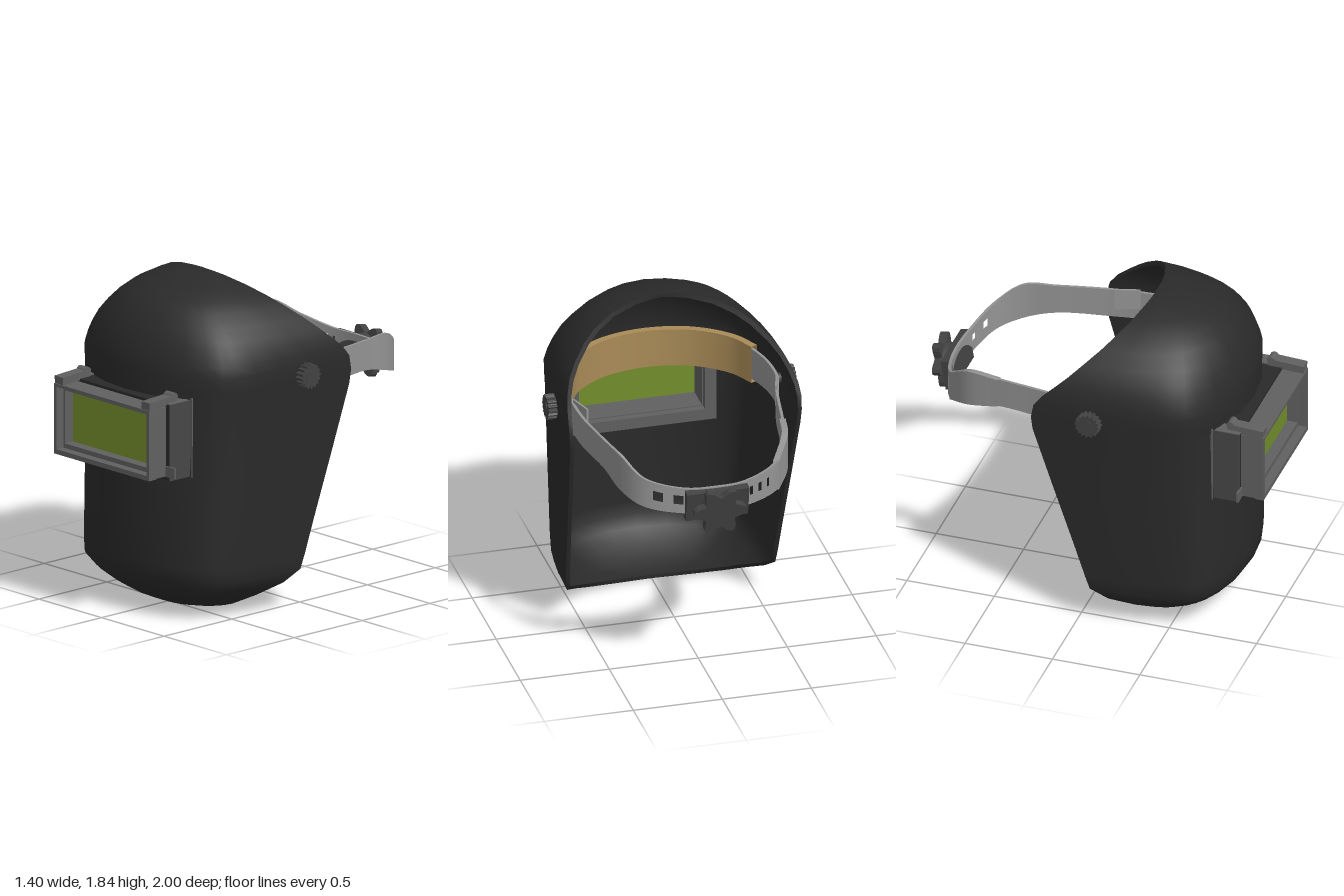
import * as THREE from 'three';
import { toCreasedNormals } from 'three/addons/utils/BufferGeometryUtils.js';

const mat = (name, color, side = THREE.FrontSide) => {
  const m = new THREE.MeshStandardMaterial({ color, side });
  m.name = name;
  return m;
};

// Skins a stack of closed loops; skip(i, j) leaves openings
function loft(loops, skip = () => false) {
  const n = loops[0].length, index = [];
  for (let i = 0; i < loops.length - 1; i++) {
    for (let j = 0; j < n; j++) {
      if (skip(i, j)) continue;
      const a = i * n + j, b = i * n + (j + 1) % n, c = b + n, d = a + n;
      index.push(a, d, c, a, c, b);
    }
  }
  const g = new THREE.BufferGeometry();
  g.setAttribute('position', new THREE.Float32BufferAttribute(loops.flat(2), 3));
  g.setIndex(index);
  return toCreasedNormals(g, 1.05);
}

// Rectangular frame with a window, extruded from z0 to z1
function frame(w, y0, y1, iw, iy0, iy1, z0, z1) {
  const rect = (C, a, b, c) => new C([[-a, b], [a, b], [a, c], [-a, c]].map(p => new THREE.Vector2(...p)));
  const s = rect(THREE.Shape, w, y0, y1);
  s.holes.push(rect(THREE.Path, iw, iy0, iy1));
  return new THREE.ExtrudeGeometry(s, { depth: z1 - z0, bevelEnabled: false }).translate(0, 0, z0);
}

// Disc whose radius follows a rule of the angle, centred on its thickness
function lobedDisc(radius, steps, depth) {
  const pts = [];
  for (let i = 0; i < steps; i++) {
    const a = i / steps * Math.PI * 2, r = radius(a, i);
    pts.push(new THREE.Vector2(Math.cos(a) * r, Math.sin(a) * r));
  }
  return new THREE.ExtrudeGeometry(new THREE.Shape(pts), { depth, bevelEnabled: false }).translate(0, 0, -depth / 2);
}

// Upright band along [x, z, centre y, half height] points
function bandGeometry(pts, closed, thick, steps, hole = () => false) {
  const path = new THREE.CatmullRomCurve3(pts.map(p => new THREE.Vector3(p[0], p[2], p[1])), closed);
  const tall = new THREE.CatmullRomCurve3(pts.map(p => new THREE.Vector3(p[0], p[2] + p[3], p[1])), closed);
  const loops = [];
  for (let i = 0; i <= steps; i++) {
    const p = path.getPoint(i / steps), h = tall.getPoint(i / steps).y - p.y;
    const t = path.getTangent(i / steps), l = Math.hypot(t.x, t.z);
    const nx = -t.z / l * thick / 2, nz = t.x / l * thick / 2;
    const at = (k, s) => [p.x + nx * s, p.y + h * k, p.z + nz * s];
    const rows = [-1, -0.4, 0.4, 1];
    loops.push([...rows.map(k => at(k, 1)), ...rows.reverse().map(k => at(k, -1))]);
  }
  return loft(loops, (i, j) => (j === 1 || j === 5) && hole(i));
}

// Shell levels: y, half width, front z, rear edge z
const LEVELS = [
  [0, 0, 0.47, 0.47], [0.01, 0.2, 0.54, 0.445], [0.04, 0.38, 0.61, 0.385], [0.09, 0.47, 0.695, 0.295],
  [0.155, 0.555, 0.775, 0.17], [0.22, 0.588, 0.815, 0.075], [0.3, 0.595, 0.82, 0.05], [0.5, 0.606, 0.82, -0.01],
  [0.87, 0.627, 0.82, -0.125], [1.22, 0.646, 0.82, -0.232], [1.3, 0.652, 0.82, -0.24], [1.38, 0.654, 0.82, -0.225],
  [1.44, 0.648, 0.815, -0.18], [1.5, 0.63, 0.80, -0.113], [1.56, 0.6, 0.78, -0.045], [1.62, 0.553, 0.75, 0.02],
  [1.69, 0.478, 0.70, 0.1], [1.74, 0.405, 0.645, 0.155], [1.79, 0.298, 0.53, 0.212], [1.825, 0.165, 0.39, 0.252],
  [1.836, 0.08, 0.32, 0.266], [1.84, 0, 0.27, 0.27],
];
const HALF = [[1, 0], [0.99, 0.25], [0.965, 0.45], [0.935, 0.61], [0.895, 0.74], [0.845, 0.8], [0.75, 0.86], [0.57, 0.925], [0.3, 0.98], [0, 1]];
const ARCH = [...HALF, ...HALF.slice(0, -1).reverse().map(([x, z]) => [-x, z])];

// Each level runs around the outside and returns along the inside, so the rim closes itself
function shellGeometry() {
  const loops = LEVELS.map(([y, w, f, b]) => {
    const k = y > 1.38 ? (y - 1.38) / 0.46 : y < 0.22 ? (0.22 - y) / 0.22 : 0;
    const arch = (y2, w2, f2) => ARCH.map(([x, z]) => {
      const m = 1 - k + k / Math.hypot(x, z);
      return [x * m * w2, y2, b + z * m * (f2 - b)];
    });
    const inner = arch(0.92 + (y - 0.92) * 0.977, Math.max(0, w - 0.022), Math.max(b, f - 0.025));
    return [...arch(y, w, f), ...inner.reverse()];
  });
  const n = ARCH.length;
  return loft(loops, (i, j) => i === 8 && ((j >= 7 && j <= 10) || (j >= n + 7 && j <= n + 10)));
}

export function createModel() {
  const model = new THREE.Group();
  model.name = 'weldingMask';
  const shellMat = mat('shellBlack', 0x2a2a2a);
  const holderMat = mat('holderCharcoal', 0x464646);
  const frameMat = mat('frameGrey', 0x606060);
  const knobMat = mat('knobGrey', 0x424242);
  const strapMat = mat('strapGrey', 0x949494, THREE.DoubleSide);
  const tanMat = mat('sweatbandTan', 0xa98b57, THREE.DoubleSide);
  const lensMat = mat('lensGreen', 0x738e2d);
  const add = (name, geo, material, x = 0, y = 0, z = 0) => {
    const m = new THREE.Mesh(geo, material);
    m.name = name;
    m.position.set(x, y, z);
    model.add(m);
    return m;
  };
  const box = (name, w, h, d, material, x, y, z) => add(name, new THREE.BoxGeometry(w, h, d), material, x, y, z);

  add('shell', shellGeometry(), shellMat);

  // Viewing window
  add('innerFrame', frame(0.42, 0.82, 1.27, 0.355, 0.885, 1.215, 0.67, 0.72), frameMat);
  add('windowHolder', frame(0.402, 0.83, 1.255, 0.35, 0.89, 1.21, 0.715, 0.87), shellMat);
  add('windowTunnel', frame(0.35, 0.89, 1.21, 0.346, 0.896, 1.204, 0.7, 0.862), frameMat);
  add('flipFrameLip', frame(0.375, 0.85, 1.24, 0.348, 0.9, 1.2, 0.87, 0.95), frameMat);
  add('flipFrameRim', frame(0.38, 0.847, 1.243, 0.36, 0.874, 1.226, 0.95, 1.0), frameMat);
  box('lens', 0.71, 0.31, 0.03, lensMat, 0, 1.05, 0.875);

  // Forehead and side strap; the right half sits slightly further in and has adjusting slots
  const left = [
    [0, 0.62, 1.335, 0.09], [0.25, 0.57, 1.335, 0.09], [0.44, 0.43, 1.335, 0.09], [0.545, 0.22, 1.33, 0.09],
    [0.575, 0, 1.32, 0.085], [0.565, -0.2, 1.31, 0.085], [0.515, -0.48, 1.305, 0.085], [0.475, -0.66, 1.28, 0.105],
    [0.385, -0.79, 1.215, 0.085], [0.18, -0.86, 1.17, 0.075], [0, -0.875, 1.165, 0.075],
  ];
  const mirror = ([x, z, y, h]) => [-x * (z < -0.1 ? 0.93 : 1), z, y, h];
  const right = left.slice(1, -1).reverse().map(mirror);
  add('headStrap', bandGeometry([...left, ...right], true, 0.016, 160,
    i => (i >= 87 && i <= 97 && i % 2 === 1) || [66, 67, 70, 71].includes(i)), strapMat);
  add('strapOverlap', bandGeometry(right.slice(1, 4), false, 0.034, 16), strapMat);
  const brow = [[0.525, 0.28, 1.335, 0.11], [0.44, 0.43, 1.335, 0.11], [0.25, 0.57, 1.335, 0.11], [0, 0.62, 1.335, 0.11]];
  add('sweatband', bandGeometry([...brow, ...brow.slice(0, -1).reverse().map(mirror)], false, 0.04, 32), tanMat);

  for (const s of [-1, 1]) {
    // Holder cheek, top bracket, hinge arm with its pin, and the lower clip of the flip frame
    box('holderCheek', 0.008, 0.43, 0.155, holderMat, s * 0.404, 1.043, 0.793);
    box('hingeBracket', 0.085, 0.008, 0.14, frameMat, s * 0.365, 1.257, 0.8);
    box('hingeArm', 0.065, 0.045, 0.2, frameMat, s * 0.347, 1.268, 0.895).rotation.x = 0.05;
    add('hingePin', new THREE.CylinderGeometry(0.024, 0.024, 0.065, 12).rotateZ(Math.PI / 2), frameMat, s * 0.347, 1.286, 0.81);
    box('frameClip', 0.07, 0.06, 0.012, frameMat, s * 0.415, 0.88, 0.872);

    // Ribbed pivot knob
    const gear = lobedDisc((a, i) => (i % 4 < 2 ? 0.07 : 0.06), 64, 0.05).rotateY(Math.PI / 2);
    add('pivotKnob', gear, knobMat, s * 0.672, 1.33, 0.095);
    add('pivotCap', new THREE.CylinderGeometry(0.035, 0.035, 0.01, 16).rotateZ(Math.PI / 2), knobMat, s * 0.695, 1.33, 0.095);
    add('pivotAxle', new THREE.CylinderGeometry(0.03, 0.03, 0.06, 16).rotateZ(Math.PI / 2), knobMat, s * 0.615, 1.33, 0.095);

    // Tilt stop standing beside the strap
    box('tiltStop', 0.012, 0.12, 0.14, strapMat, s * 0.55, 1.36, -0.09).rotation.y = s * 0.3;
  }

  // Rear ratchet: housing, axle and star knob leaning back
  const ratchet = new THREE.Group();
  ratchet.name = 'ratchet';
  ratchet.position.set(0, 1.145, -0.88);
  ratchet.rotation.x = -0.18;
  model.add(ratchet);
  const part = (name, geo, z) => {
    const m = new THREE.Mesh(geo, knobMat);
    m.name = name;
    m.position.z = z;
    ratchet.add(m);
  };
  part('ratchetHousing', new THREE.BoxGeometry(0.35, 0.175, 0.045), 0);
  part('ratchetAxle', new THREE.CylinderGeometry(0.09, 0.1, 0.05, 24).rotateX(Math.PI / 2), -0.04);
  part('starKnob', lobedDisc(a => 0.122 + 0.028 * Math.cos(6 * a), 60, 0.045), -0.073);
  return model;
}
